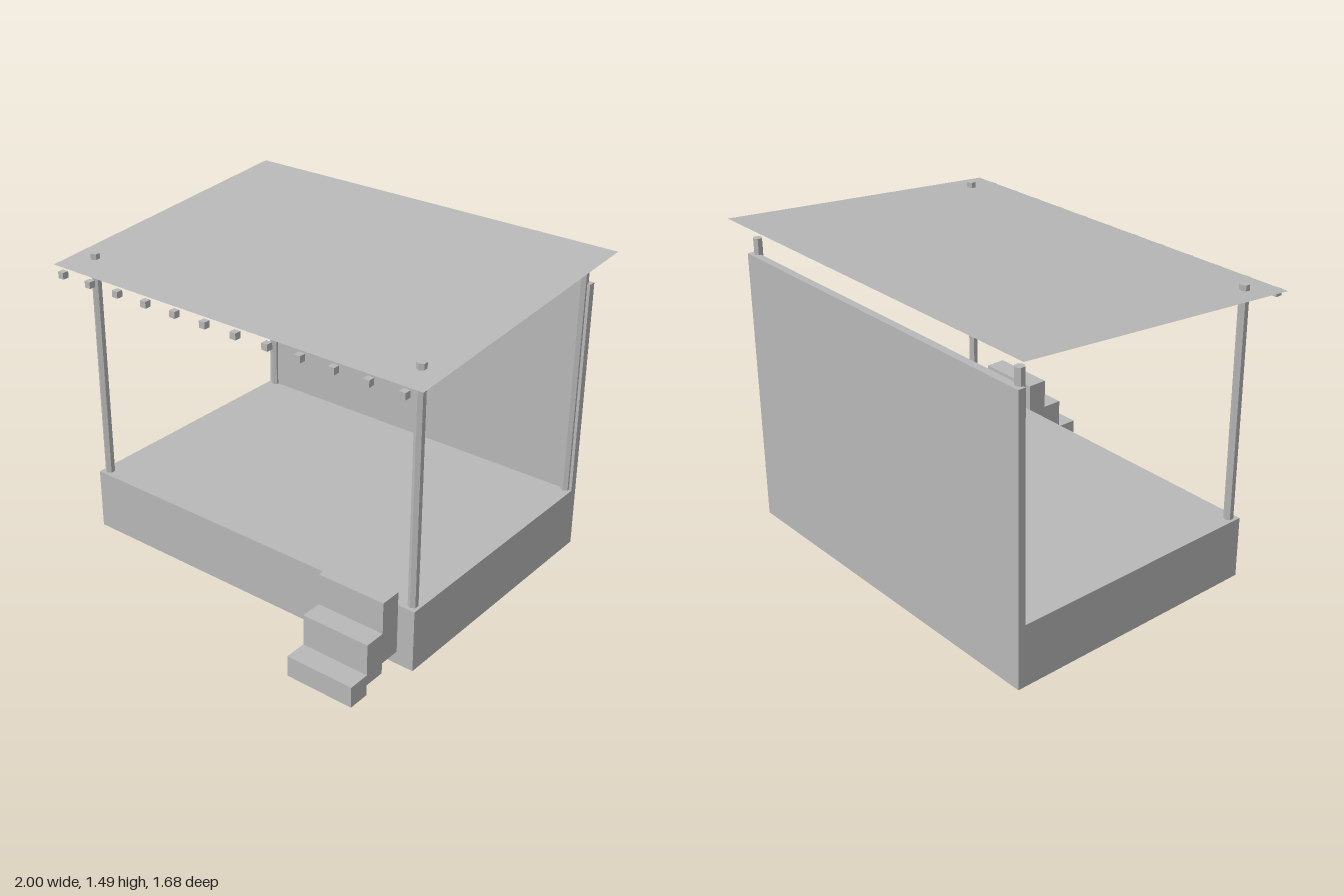
import * as THREE from 'three';

export function createModel() {
  const model = new THREE.Group();
  model.name = 'porchStage';

  const grey = new THREE.MeshStandardMaterial({ color: 0xb8b8b8, flatShading: true });
  grey.name = 'plain grey';
  const greySheet = new THREE.MeshStandardMaterial({ color: 0xb8b8b8, side: THREE.DoubleSide });
  greySheet.name = 'plain grey sheet';

  const add = (name, geometry, x, y, z, material = grey) => {
    const mesh = new THREE.Mesh(geometry, material);
    mesh.name = name;
    mesh.position.set(x, y, z);
    model.add(mesh);
    return mesh;
  };
  // Box given by its lower and upper limits on each axis
  const addBox = (name, [x0, x1], [y0, y1], [z0, z1]) =>
    add(name, new THREE.BoxGeometry(x1 - x0, y1 - y0, z1 - z0),
      (x0 + x1) / 2, (y0 + y1) / 2, (z0 + z1) / 2);

  // Raised floor and back wall
  const width = [-0.924, 0.921];
  addBox('platform', width, [0, 0.297], [-0.802, 0.49]);
  addBox('backWall', width, [0.297, 1.335], [-0.802, -0.766]);

  // Hexagonal posts; the front pair pokes through the roof
  const postGeometry = new THREE.CylinderGeometry(0.0225, 0.0225, 1.113, 6);
  for (const [row, z] of [['front', 0.453], ['back', -0.766]]) {
    for (const [side, x] of [['Left', 0.887], ['Right', -0.89]]) {
      add(`${row}${side}Post`, postGeometry, x, 0.297 + 1.113 / 2, z);
    }
  }

  // Thin roof sheet, sloping down to the front
  const zBack = -0.842, zFront = 0.6, yBack = 1.486, yFront = 1.372;
  const drop = yBack - yFront, depth = zFront - zBack;
  const roofGeometry = new THREE.PlaneGeometry(2, Math.hypot(drop, depth));
  roofGeometry.rotateX(-Math.PI / 2 + Math.atan2(drop, depth));
  add('roof', roofGeometry, 0, (yBack + yFront) / 2, (zBack + zFront) / 2, greySheet);

  // Row of small lamps below the front edge of the roof
  const lampGeometry = new THREE.BoxGeometry(0.031, 0.031, 0.031);
  for (let i = 0; i < 12; i++) {
    add(`lamp${i + 1}`, lampGeometry, -0.93 + i * 0.1684, 1.345, 0.61);
  }

  // Staggered steps, each block taller than the one in front
  const steps = [
    [[0, 0.1], [0.737, 0.841]],
    [[0.05, 0.248], [0.635, 0.737]],
    [[0.1, 0.397], [0.533, 0.635]],
  ];
  steps.forEach(([y, z], i) => addBox(`step${i + 1}`, [0.535, 0.868], y, z));

  return model;
}
